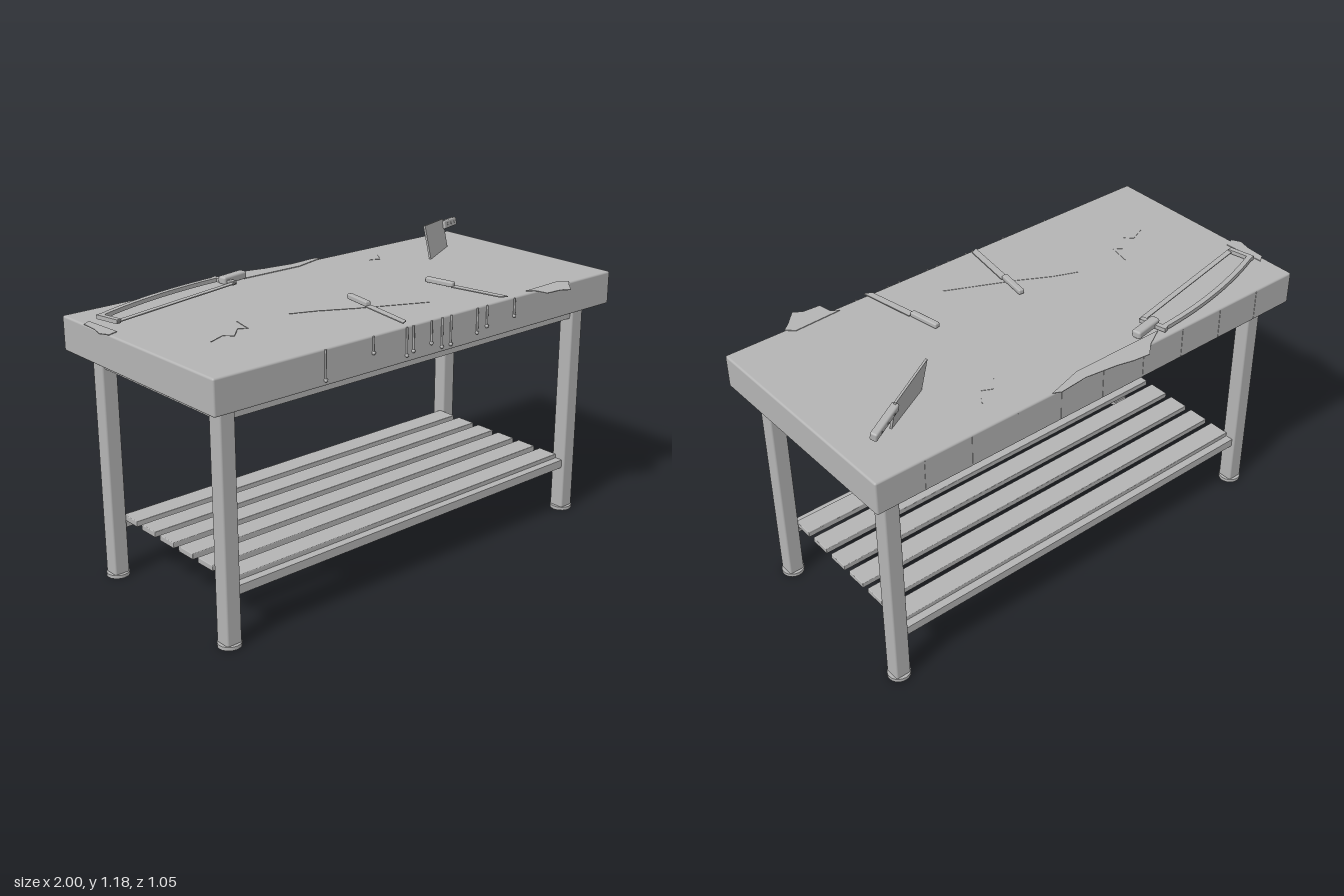
import * as THREE from 'three';
import { RoundedBoxGeometry } from 'three/addons/geometries/RoundedBoxGeometry.js';

const TOP = 1.045;

export function createModel() {
  const model = new THREE.Group();
  const grey = new THREE.MeshStandardMaterial({ color: 0xb4b4b4 });
  grey.name = 'plain grey';

  const add = (name, geo, x = 0, y = 0, z = 0, parent = model) => {
    const mesh = new THREE.Mesh(geo, grey);
    mesh.name = name;
    mesh.position.set(x, y, z);
    parent.add(mesh);
    return mesh;
  };
  // Box given by its minimum and maximum corners
  const box = (name, a, b, r = 0, parent = model) => {
    const s = a.map((v, i) => b[i] - v);
    const geo = r ? new RoundedBoxGeometry(...s, 2, r) : new THREE.BoxGeometry(...s);
    return add(name, geo, ...a.map((v, i) => (v + b[i]) / 2), parent);
  };
  const outline = (pts) => new THREE.Shape(pts.map((p) => new THREE.Vector2(...p)));
  // Outline in x, z lying flat, from height y upward
  const plate = (name, pts, y, thick, parent = model) => {
    const geo = new THREE.ExtrudeGeometry(outline(pts.map(([x, z]) => [x, -z])), { depth: thick, bevelEnabled: false });
    geo.rotateX(-Math.PI / 2);
    return add(name, geo, 0, y, 0, parent);
  };
  // Flat bar between two points in x, z
  const bar = (name, [x0, z0], [x1, z1], y0, y1, width, r = 0) => {
    const len = Math.hypot(x1 - x0, z1 - z0);
    const geo = r ? new RoundedBoxGeometry(len, y1 - y0, width, 2, r) : new THREE.BoxGeometry(len, y1 - y0, width);
    const m = add(name, geo, (x0 + x1) / 2, (y0 + y1) / 2, (z0 + z1) / 2);
    m.rotation.y = -Math.atan2(z1 - z0, x1 - x0);
    return m;
  };

  // Thick table top, with panel seams along the back
  box('tableTop', [-0.98, 0.91, -0.485], [1, TOP, 0.443], 0.008);
  for (let i = 1; i < 10; i++) {
    const x = 1 - i * 0.198;
    box('backSeam', [x - 0.002, 0.918, -0.4865], [x + 0.002, 1.037, -0.48]);
  }

  // Legs and round feet
  const legX = [-0.878, 0.893], legZ = [-0.378, 0.343];
  for (const x of legX) for (const z of legZ) {
    box('leg', [x - 0.0325, 0.01, z - 0.0325], [x + 0.0325, 0.912, z + 0.0325], 0.008);
    add('foot', new THREE.CylinderGeometry(0.045, 0.045, 0.014, 20), x, 0.007, z);
  }

  // Upper frame and lower long rails
  for (const z of legZ) {
    box('upperLongRail', [-0.85, 0.855, z - 0.02], [0.865, 0.9, z + 0.02]);
    box('lowerLongRail', [-0.85, 0.195, z - 0.02], [0.865, 0.23, z + 0.02]);
  }
  for (const x of legX) {
    box('upperSideRail', [x - 0.02, 0.855, -0.35], [x + 0.02, 0.9, 0.315]);
  }

  // Shelf slats
  for (let i = 0; i < 6; i++) {
    const z = 0.285 - i * 0.1212;
    box('shelfSlat', [-0.845, 0.225, z - 0.045], [0.86, 0.248, z + 0.045], 0.003);
  }

  // Thin spills hanging over the edges
  plate('backSpill', [[-0.3, -0.44], [-0.22, -0.485], [-0.17, -0.53], [-0.1, -0.522], [-0.03, -0.505],
    [0.1, -0.488], [0.22, -0.498], [0.25, -0.483], [0.1, -0.44]], TOP, 0.003);
  plate('sideSpill', [[-0.95, -0.35], [-0.982, -0.33], [-0.987, -0.25], [-1, -0.2], [-0.982, -0.165], [-0.94, -0.18]], TOP, 0.003);
  plate('frontSpill', [[0.52, 0.42], [0.55, 0.44], [0.56, 0.495], [0.63, 0.5], [0.665, 0.522], [0.72, 0.465],
    [0.75, 0.44], [0.72, 0.41]], TOP, 0.003);

  // Drips down the front: x and lowest height
  const drips = [[-0.512, 0.925], [-0.292, 0.975], [-0.132, 0.93], [-0.1, 0.94], [-0.01, 0.95], [0.044, 0.925],
    [0.09, 0.925], [0.228, 0.94], [0.28, 0.955], [0.43, 0.965]];
  for (const [x, y] of drips) {
    add('drip', new THREE.CylinderGeometry(0.004, 0.004, 1.042 - y, 8), x, (y + 1.042) / 2, 0.446);
    add('dripBead', new THREE.SphereGeometry(0.0075, 10, 8), x, y + 0.007, 0.446);
  }

  // Scratches in the surface
  const scratches = [
    [[-0.76, 0.13], [-0.69, 0.1], [-0.66, 0.13], [-0.6, 0.07], [-0.57, 0.09], [-0.55, 0.0]],
    [[-0.35, 0.05], [-0.25, 0.09], [-0.12, 0.16], [0.14, 0.28]],
    [[0.34, -0.27], [0.39, -0.33], [0.43, -0.31], [0.47, -0.37]],
  ];
  for (const pts of scratches) {
    for (let i = 1; i < pts.length; i++) bar('scratch', pts[i - 1], pts[i], TOP - 0.002, TOP + 0.0015, 0.003);
  }

  // Two knives lying flat
  const knife = (hx, hz, mx, mz, tx, tz, side) => {
    bar('knifeHandle', [hx, hz], [mx, mz], 1.052, 1.073, 0.024, 0.006);
    const w = 0.015;
    plate('knifeBlade', [[mx - w, mz], [mx + w, mz], [tx + w, tz - (side > 0 ? 0.0 : 0.015)],
      [tx - w, tz - (side > 0 ? 0.015 : 0)]], 1.053, 0.004);
  };
  knife(-0.067, 0.06, -0.088, 0.19, -0.125, 0.432, -1);
  knife(0.315, 0.083, 0.337, 0.213, 0.378, 0.445, 1);

  // Bow saw: arched frame, straight blade and handle
  const arch = new THREE.QuadraticBezierCurve(
    new THREE.Vector2(-0.925, -0.33), new THREE.Vector2(-0.63, -0.45), new THREE.Vector2(-0.305, -0.467));
  const upper = arch.getPoints(14).map((p) => [p.x, p.y]);
  const lower = upper.map(([x, z]) => [x + 0.005, z + 0.02]).reverse();
  plate('sawFrame', [...upper, ...lower], 1.055, 0.016);
  bar('sawFront', [-0.918, -0.335], [-0.897, -0.232], 1.055, 1.071, 0.02);
  bar('sawRear', [-0.31, -0.472], [-0.285, -0.365], 1.055, 1.071, 0.02);
  bar('sawBlade', [-0.905, -0.236], [-0.283, -0.368], 1.061, 1.065, 0.022);
  bar('sawHandle', [-0.318, -0.408], [-0.192, -0.432], 1.053, 1.085, 0.038, 0.009);

  // Cleaver stuck in the top, leaning back
  const cleaver = new THREE.Group();
  cleaver.name = 'cleaver';
  cleaver.position.set(0.585, TOP - 0.002, -0.172);
  cleaver.rotation.order = 'YXZ';
  cleaver.rotation.set(-0.2, 0.49, 0);
  model.add(cleaver);
  const blade = new THREE.ExtrudeGeometry(outline([[0, 0], [0.235, 0], [0.237, 0.122], [0, 0.144]]),
    { depth: 0.008, bevelEnabled: false });
  add('cleaverBlade', blade, 0, 0, -0.004, cleaver);
  const handle = add('cleaverHandle', new RoundedBoxGeometry(0.165, 0.035, 0.028, 2, 0.007), 0.305, 0.089, 0, cleaver);
  handle.rotation.z = -0.1;
  for (const x of [-0.045, 0, 0.045]) {
    const rivet = add('cleaverRivet', new THREE.CylinderGeometry(0.005, 0.005, 0.031, 10), x, 0, 0, handle);
    rivet.rotation.x = Math.PI / 2;
  }
  return model;
}
